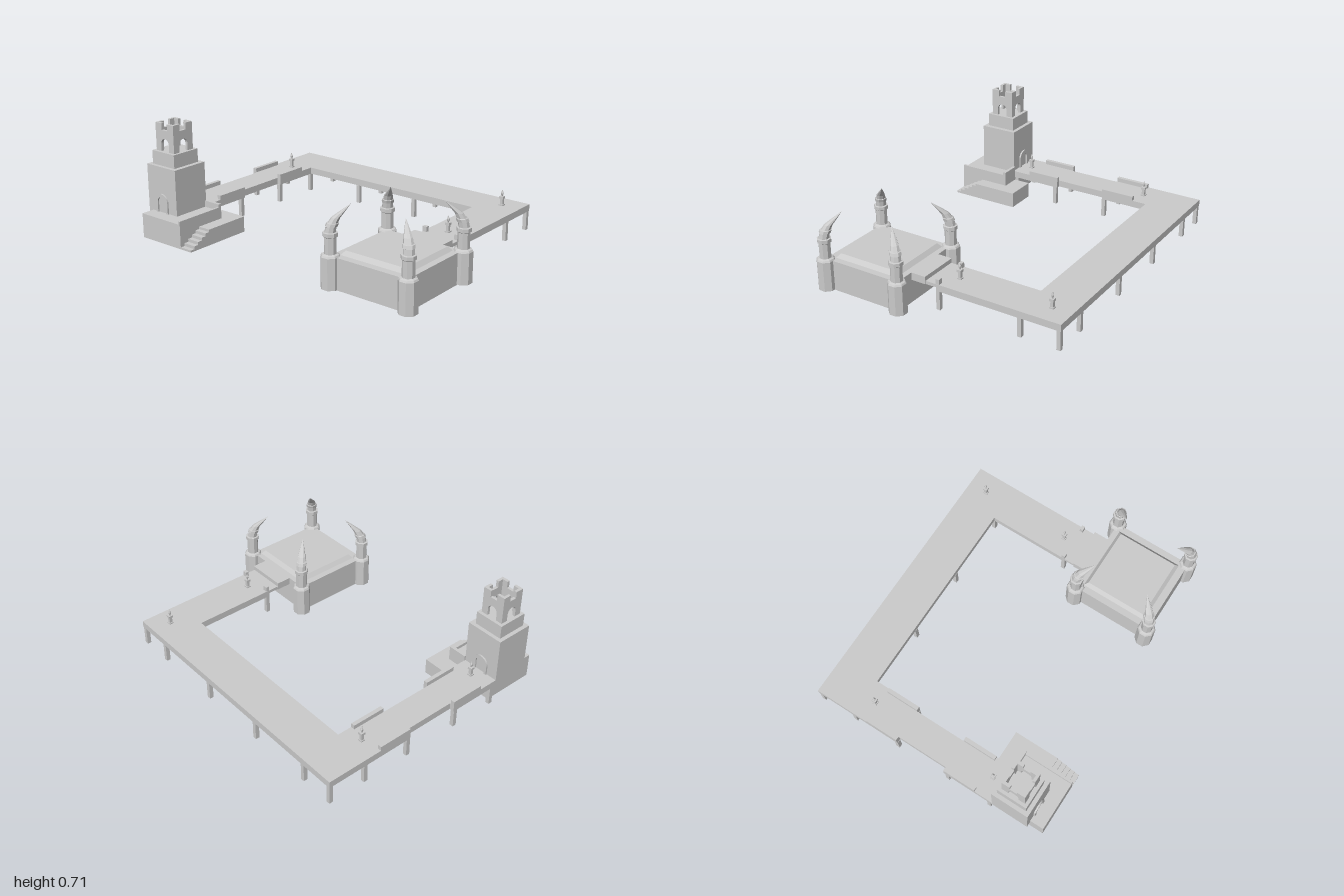
import * as THREE from 'three';

const mat = new THREE.MeshStandardMaterial({ color: 0xcccccc, flatShading: true, side: THREE.DoubleSide });

export function createModel() {
  const root = new THREE.Group();

  const add = (name, geo, parent = root) => {
    const m = new THREE.Mesh(geo, mat);
    m.name = name;
    parent.add(m);
    return m;
  };
  // Box from its limits on each axis
  const box = (name, x0, x1, y0, y1, z0, z1, parent = root) => {
    const m = add(name, new THREE.BoxGeometry(x1 - x0, y1 - y0, z1 - z0), parent);
    m.position.set((x0 + x1) / 2, (y0 + y1) / 2, (z0 + z1) / 2);
    return m;
  };
  // Eight-sided horizontal loops joined along a path of [offset, y, radius]
  const loft = (rows, dx, dz, n = 8) => {
    const pos = [], idx = [];
    rows.forEach(([o, y, r], i) => {
      for (let k = 0; k < n; k++) {
        const a = ((k + 0.5) / n) * Math.PI * 2;
        pos.push(o * dx + r * Math.cos(a), y, o * dz + r * Math.sin(a));
        if (i) {
          const p = (i - 1) * n, q = i * n, l = (k + 1) % n;
          idx.push(p + k, q + k, p + l, q + k, q + l, p + l);
        }
      }
    });
    const g = new THREE.BufferGeometry();
    g.setAttribute('position', new THREE.Float32BufferAttribute(pos, 3));
    g.setIndex(idx);
    g.computeVertexNormals();
    return g;
  };

  // Raised walkway: U-shaped deck
  const T = 0.168, B = 0.125;
  box('backDeck', -1, 0.805, B, T, -0.805, -0.535);
  box('leftDeckBack', -1, -0.755, B, T, -0.535, -0.22);
  box('leftDeckMiddle', -0.97, -0.78, B, T, -0.22, 0.12);
  box('leftDeckFront', -1, -0.755, B, T, 0.12, 0.47);
  box('rightDeck', 0.555, 0.805, B, T, -0.535, 0);
  for (const z of [-0.44, 0.12]) {
    box('railOuter', -1, -0.975, T, 0.195, z, z + 0.22);
    box('railInner', -0.78, -0.755, T, 0.195, z, z + 0.22);
  }

  // Support posts
  const post = (x, z) => box('post', x - 0.0125, x + 0.0125, 0.004, B, z - 0.0125, z + 0.0125);
  for (const x of [-0.985, -0.77, -0.34, 0.11, 0.57, 0.79]) {
    post(x, -0.79);
    post(x, -0.545);
  }
  for (const z of [-0.23, 0.14, 0.44]) {
    post(-0.985, z);
    post(-0.77, z);
  }
  for (const x of [0.57, 0.79]) {
    post(x, -0.01);
    box('gatePost', x - 0.0145, x + 0.0145, T, 0.2, -0.022, 0);
  }

  // Lamps on the deck
  for (const [x, z] of [[-0.87, -0.465], [-0.87, 0.39], [0.68, -0.68], [0.68, -0.08]]) {
    const lamp = new THREE.Group();
    lamp.name = 'lamp';
    lamp.position.set(x, T, z);
    box('lampFoot', -0.014, 0.014, 0, 0.008, -0.014, 0.014, lamp);
    box('lampStem', -0.009, 0.009, 0, 0.045, -0.009, 0.009, lamp);
    box('lampPlate', -0.014, 0.014, 0.045, 0.06, -0.014, 0.014, lamp);
    add('lampFlame', loft([[0, 0.06, 0.004], [0, 0.08, 0.009], [0, 0.104, 0]], 0, 0, 6), lamp);
    root.add(lamp);
  }

  // Keep: body, sloped roof and landing
  box('keepBody', 0.42, 0.94, 0.005, 0.195, 0.165, 0.685);
  const roof = new THREE.BoxGeometry(0.44, 0.027, 0.44);
  const rp = roof.attributes.position;
  for (let i = 0; i < rp.count; i++) if (rp.getY(i) > 0) {
    rp.setX(i, rp.getX(i) * 0.9);
    rp.setZ(i, rp.getZ(i) * 0.9);
  }
  roof.computeVertexNormals();
  add('keepRoof', roof).position.set(0.68, 0.207, 0.42);
  box('bridge', 0.555, 0.805, 0.148, T, 0, 0.07);
  box('landing', 0.55, 0.81, 0.148, 0.195, 0.07, 0.2);

  // Corner turrets, each with a horn bent towards the middle
  for (const sx of [-1, 1]) for (const sz of [-1, 1]) {
    const turret = new THREE.Group();
    turret.name = 'turret';
    turret.position.set(0.683 + sx * 0.26, 0, 0.422 + sz * 0.258);
    add('turretShaft', loft([[0, 0.008, 0], [0, 0.008, 0.056], [0, 0.195, 0.056], [0, 0.205, 0.05],
      [0, 0.21, 0.036], [0, 0.305, 0.036], [0, 0.31, 0.043], [0, 0.332, 0.043], [0, 0.334, 0.032]], 0, 0), turret);
    add('turretHorn', loft([[0, 0.334, 0.032], [0.004, 0.365, 0.031], [0.005, 0.367, 0.036], [0.01, 0.385, 0.035],
      [0.011, 0.387, 0.029], [0.022, 0.415, 0.025], [0.045, 0.445, 0.016], [0.08, 0.49, 0]], -sx, -sz), turret);
    root.add(turret);
  }

  // Gate platform with side landing and stairs
  box('platform', -0.965, -0.635, 0.005, 0.16, 0.455, 0.8);
  box('platformBackWall', -0.757, -0.635, 0.16, 0.2, 0.455, 0.475);
  box('platformSideWall', -0.65, -0.635, 0.16, 0.18, 0.475, 0.8);
  box('lowerLandingBack', -0.755, -0.55, 0.005, 0.105, 0.345, 0.455);
  box('lowerLandingSide', -0.635, -0.55, 0.005, 0.105, 0.455, 0.645);
  for (let i = 0; i < 5; i++) {
    box('step', -0.635, -0.55, 0.005, 0.09 - i * 0.018, 0.645 + i * 0.031, 0.676 + i * 0.031);
  }

  // Watchtower in three tiers
  box('towerBase', -1, -0.755, 0.125, 0.45, 0.465, 0.71);
  box('towerMiddle', -0.975, -0.785, 0.45, 0.535, 0.49, 0.685);

  // Arched outline standing on y = 0
  const arch = (path, w, h) => {
    path.moveTo(-w, 0);
    path.lineTo(w, 0);
    path.lineTo(w, h - w);
    path.absarc(0, h - w, w, 0, Math.PI, false);
    path.lineTo(-w, 0);
    return path;
  };
  // Door surrounds on the front and back
  const frame = arch(new THREE.Shape(), 0.051, 0.12);
  frame.holes.push(arch(new THREE.Path(), 0.034, 0.1));
  const frameGeo = new THREE.ExtrudeGeometry(frame, { depth: 0.012, bevelEnabled: false, curveSegments: 8 });
  add('doorFrameFront', frameGeo).position.set(-0.877, 0.16, 0.708);
  add('doorFrameBack', frameGeo).position.set(-0.877, 0.16, 0.455);

  // Open belfry: four walls with an arch and a notched top
  const h = 0.077;
  const wall = new THREE.Shape([[-h, 0], [-0.033, 0], [-0.033, 0.047]].map(p => new THREE.Vector2(...p)));
  wall.absarc(0, 0.047, 0.033, Math.PI, 0, true);
  for (const [x, y] of [[0.033, 0], [h, 0], [h, 0.175], [0.024, 0.175], [0.024, 0.133],
    [-0.024, 0.133], [-0.024, 0.175], [-h, 0.175]]) wall.lineTo(x, y);
  const wallGeo = new THREE.ExtrudeGeometry(wall, { depth: 0.018, bevelEnabled: false, curveSegments: 8 });
  wallGeo.translate(0, 0, h - 0.018);
  const belfry = new THREE.Group();
  belfry.name = 'belfry';
  belfry.position.set(-0.879, 0.535, 0.588);
  for (let i = 0; i < 4; i++) add('belfryWall', wallGeo, belfry).rotation.y = (i * Math.PI) / 2;
  root.add(belfry);

  return root;
}
